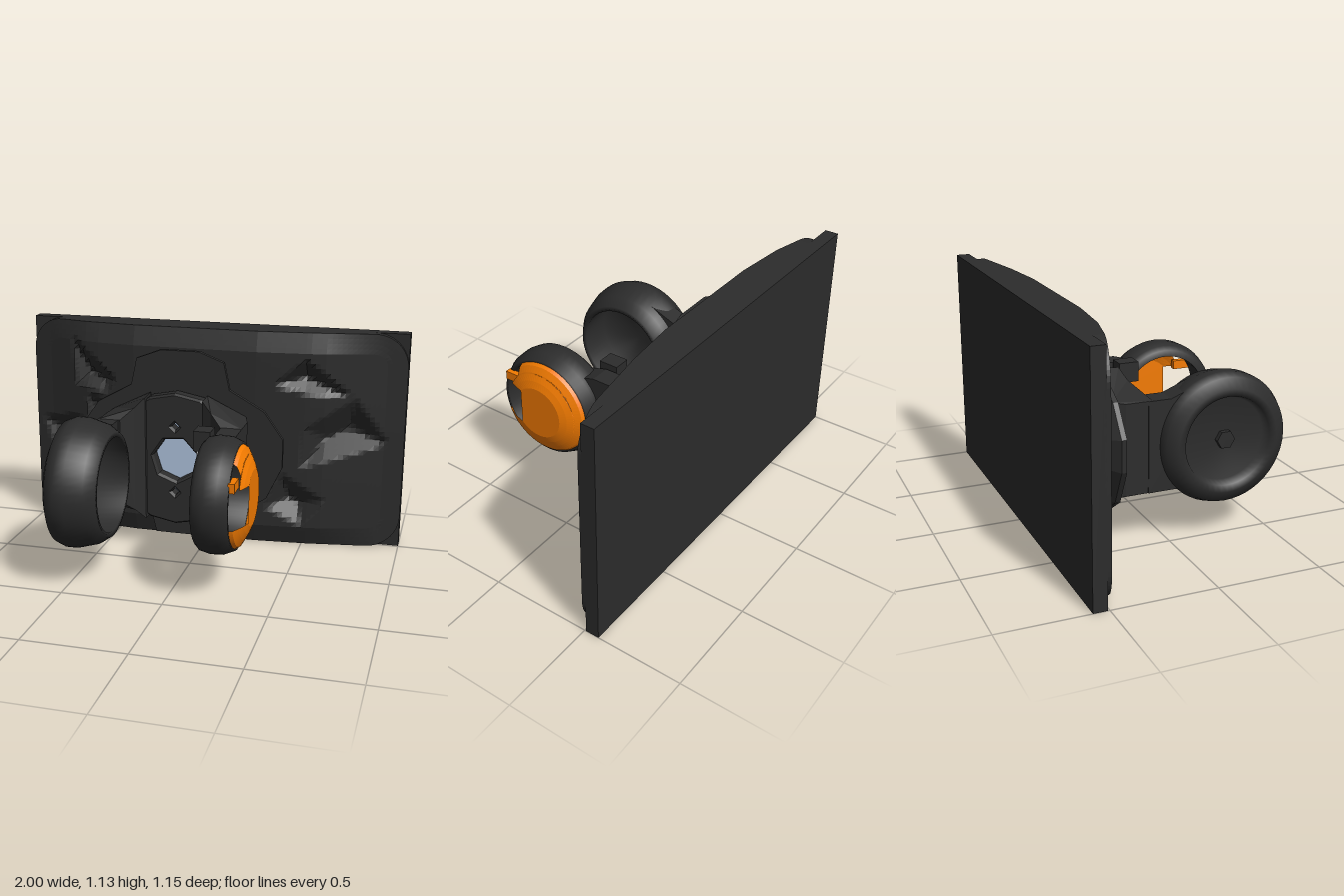
import * as THREE from 'three';

const mat = (color, extra = {}) => new THREE.MeshStandardMaterial({ color, ...extra });
const CX = -0.13, CY = 0.48, WZ = 0.26; // yoke axis and wheel centre

export function createModel() {
  const group = new THREE.Group();
  const dark = mat(0x2c2c2c, { flatShading: true, side: THREE.DoubleSide });
  const smooth = mat(0x2c2c2c, { side: THREE.DoubleSide });
  const orange = mat(0xf57c00, { flatShading: true, side: THREE.DoubleSide });
  const blue = mat(0xb0c4de);
  const grey = mat(0xcccccc);

  const add = (name, geo, material, x = 0, y = 0, z = 0) => {
    const mesh = new THREE.Mesh(geo, material);
    mesh.name = name;
    mesh.position.set(x, y, z);
    group.add(mesh);
    return mesh;
  };
  const box = (name, material, x0, x1, y0, y1, z0, z1) =>
    add(name, new THREE.BoxGeometry(x1 - x0, y1 - y0, z1 - z0), material, (x0 + x1) / 2, (y0 + y1) / 2, (z0 + z1) / 2);
  const shapeOf = pts => new THREE.Shape(pts.map(p => new THREE.Vector2(...p)));
  const ngon = (n, r, x = 0, y = 0, turn = 0) => Array.from({ length: n }, (_, i) => {
    const a = turn + i / n * Math.PI * 2;
    return new THREE.Vector2(x + r * Math.cos(a), y + r * Math.sin(a));
  });

  // Back board
  box('backBoard', dark, -1, 1, 0, 1.13, -0.575, -0.508);

  // Faceted front of the board: a sloping field with rounded corners and angular pits
  const ramp = [[-1, -0.49], [-0.67, -0.415], [-0.4, -0.39], [0.25, -0.39], [0.52, -0.415], [1, -0.49]];
  const pits = [ // slope, then corners counter-clockwise
    [1.0, [-0.76, 1.05], [-0.74, 0.79], [-0.55, 0.76], [-0.5, 0.84]],
    [0.7, [-0.97, 0.58], [-0.78, 0.1], [-0.69, 0.28], [-0.72, 0.63]],
    [0.8, [-0.68, 0.75], [-0.62, 0.25], [-0.5, 0.3], [-0.5, 0.72]],
    [1.0, [0.33, 0.86], [0.5, 0.82], [0.75, 0.8], [0.5, 1.0]],
    [0.7, [0.75, 0.8], [0.5, 0.64], [0.48, 0.42], [0.93, 0.56]],
    [0.7, [0.38, 0.4], [0.3, 0.2], [0.5, 0.1], [0.62, 0.25]]];
  const pitDepth = (x, y, [slope, ...c]) => slope * Math.max(0, Math.min(...c.map(([ax, ay], i) => {
    const [bx, by] = c[(i + 1) % c.length];
    return ((bx - ax) * (y - ay) - (by - ay) * (x - ax)) / Math.hypot(bx - ax, by - ay);
  })));
  const height = (x, y) => {
    const i = Math.max(0, ramp.findIndex(p => p[0] >= x) - 1);
    const [a, b] = [ramp[i], ramp[i + 1]];
    let z = a[1] + (b[1] - a[1]) * (x - a[0]) / (b[0] - a[0]);
    z += 0.033 * Math.min(1, Math.min(y, 1.13 - y) / 0.1) * Math.max(0, Math.min(1, (0.9 - Math.abs(x)) / 0.3));
    for (const pit of pits) z -= pitDepth(x, y, pit);
    return Math.max(z, -0.505);
  };
  const NX = 80, NY = 45, R = 0.17;
  const field = new THREE.PlaneGeometry(2, 1.13, NX + 2, NY + 2);
  const pos = field.attributes.position;
  for (let j = 0, k = 0; j <= NY + 2; j++) for (let i = 0; i <= NX + 2; i++, k++) {
    const outer = i === 0 || j === 0 || i === NX + 2 || j === NY + 2;
    let x = -1 + 2 * Math.min(NX, Math.max(0, i - 1)) / NX;
    let y = 1.13 - 1.13 * Math.min(NY, Math.max(0, j - 1)) / NY;
    const cx = Math.sign(x) * (1 - R), cy = y > 0.565 ? 1.13 - R : R;
    const dx = Math.abs(x) - (1 - R), dy = y > 0.565 ? y - cy : cy - y;
    if (dx > 0 && dy > 0) { // pull corner points onto a quarter circle
      const s = Math.max(dx, dy) / Math.hypot(dx, dy);
      x = cx + (x - cx) * s;
      y = cy + (y - cy) * s;
    }
    pos.setXYZ(k, x, y, outer ? -0.52 : height(x, y));
  }
  field.computeVertexNormals();
  add('facetedFront', field, dark);

  // Mounting collar: lobed plate with a tapering back
  const half = [[0.13, 0.04], [0.15, 0.12], [0.3, 0.17], [0.46, 0.28], [0.54, 0.45], [0.54, 0.6], [0.44, 0.74], [0.26, 0.84], [0.23, 0.98], [0.1, 1.03]];
  const outline = [...half, ...half.map(([x, y]) => [-x, y]).reverse()];
  add('collarPlate', new THREE.ExtrudeGeometry(shapeOf(outline), { depth: 0.025, bevelEnabled: false }), dark, CX, 0, -0.31);
  const taper = new THREE.ExtrudeGeometry(shapeOf(outline), { depth: 0.09, bevelEnabled: false });
  const tp = taper.attributes.position;
  for (let i = 0; i < tp.count; i++) if (tp.getZ(i) < 0.01) tp.setXY(i, tp.getX(i) * 0.82, 0.53 + (tp.getY(i) - 0.53) * 0.82);
  taper.computeVertexNormals();
  add('collarTaper', taper, dark, CX, 0, -0.4);

  // Pale bearing disc behind the yoke
  const disc = new THREE.CylinderGeometry(0.29, 0.29, 0.02, 32).rotateX(Math.PI / 2);
  add('bearingDisc', disc, blue, CX, CY, -0.279);

  // Yoke base with a central opening and two small ones
  const base = new THREE.Shape(ngon(16, 0.34));
  base.holes.push(new THREE.Path(ngon(7, 0.13, 0, 0, 0.3)));
  for (const s of [-1, 1]) base.holes.push(new THREE.Path(ngon(4, 0.034, 0, s * 0.175)));
  add('yokeBase', new THREE.ExtrudeGeometry(base, { depth: 0.055, bevelEnabled: true, bevelThickness: 0.015, bevelSize: 0.01, bevelSegments: 1 }), dark, CX, CY, -0.258);

  // Yoke shoulders, swelling toward the base
  for (const s of [-1, 1]) {
    const prof = [[0.35, 0.28], [0.37, 0.22], [0.37, 0.09], [0.26, 0.09], [0.2, 0.14], [0.15, 0.165], [0.15, 0.27]];
    const geo = new THREE.ExtrudeGeometry(shapeOf(prof.map(([x, y]) => [s * x, y])), { depth: 1, bevelEnabled: false }).rotateX(-Math.PI / 2);
    const p = geo.attributes.position;
    for (let i = 0; i < p.count; i++) {
      const inner = 1 - (Math.abs(p.getX(i)) - 0.15) / 0.22;
      const h = 0.22 + Math.min(0.11, 1.4 * (-0.09 - p.getZ(i))) * inner;
      p.setY(i, p.getY(i) > 0.5 ? h : -h);
    }
    geo.computeVertexNormals();
    add(s > 0 ? 'leftShoulder' : 'rightShoulder', geo, dark, CX, CY, 0);
  }

  // Arms reaching out to the wheels, cut round at the wheel end
  const arm = (name, x0, x1, r, a, topZ) => {
    const s = new THREE.Shape();
    s.moveTo(-0.11, 0.7);
    s.lineTo(-0.11, 0.26);
    s.lineTo(0.03, 0.26);
    s.absarc(WZ, CY, r, Math.PI + a, Math.PI - a, true);
    s.lineTo(topZ, 0.7);
    add(name, new THREE.ExtrudeGeometry(s, { depth: x1 - x0, bevelEnabled: false }).rotateY(-Math.PI / 2), dark, x1, 0, 0);
  };
  arm('leftArm', 0.135, 0.24, 0.25, 0.9, 0.02);
  arm('rightArm', -0.505, -0.4, 0.3, 1.2, 0);
  box('armPad', dark, 0.2, 0.245, 0.38, 0.59, -0.09, 0.02);

  // Wheels turned about the x axis: profiles are [radius, x]
  const turned = (name, prof, material) =>
    add(name, new THREE.LatheGeometry(prof.map(p => new THREE.Vector2(...p)), 48).rotateZ(-Math.PI / 2), material, 0, CY, WZ);
  turned('rightWheel', [[0, -0.52], [0.2, -0.52], [0.215, -0.565], [0.25, -0.57], [0.3, -0.545], [0.317, -0.5], [0.315, -0.45],
    [0.29, -0.36], [0.255, -0.31], [0.23, -0.31], [0.24, -0.48], [0, -0.48]], smooth);
  const hub = new THREE.CylinderGeometry(0.045, 0.045, 0.03, 6).rotateZ(Math.PI / 2);
  add('rightHub', hub, dark, -0.53, CY, WZ);
  turned('leftWheel', [[0.22, 0.13], [0.25, 0.135], [0.27, 0.155], [0.28, 0.2], [0.277, 0.26], [0.255, 0.31], [0.235, 0.31], [0.22, 0.13]], smooth);

  // Domed cap on the left wheel, open toward the front
  const rings = [[0.135, 0.375], [0.17, 0.362], [0.2, 0.347], [0.205, 0.344], [0.235, 0.327], [0.25, 0.3]];
  const cap = new THREE.PlaneGeometry(1, 1, 64, rings.length - 1);
  const cp = cap.attributes.position;
  rings.forEach(([r, x], j) => {
    const low = Math.asin(0.09 / r), top = r > 0.2 ? Math.acos(0.14 / r) : low;
    for (let i = 0; i <= 64; i++) {
      const a = top + (Math.PI * 2 - low - top) * i / 64;
      cp.setXYZ(j * 65 + i, x, r * Math.sin(a), r * Math.cos(a));
    }
  });
  cap.computeVertexNormals();
  add('capDome', cap, orange, 0, CY, WZ);
  const notch = Math.asin(0.09 / 0.135);
  const centre = new THREE.Shape().absarc(0, 0, 0.135, notch, Math.PI * 2 - notch, false);
  add('capCentre', new THREE.ShapeGeometry(centre, 32).rotateY(-Math.PI / 2), orange, 0.375, CY, WZ);
  box('capTooth', orange, 0.305, 0.335, 0.57, 0.615, 0.39, 0.485);

  // Latch on the inner side of the left arm
  box('latchLever', grey, 0.03, 0.135, 0.48, 0.62, -0.09, -0.02);
  box('latchUpper', dark, 0.035, 0.12, 0.62, 0.72, -0.03, 0.07);
  box('latchLower', dark, 0.035, 0.12, 0.37, 0.48, -0.03, 0.07);

  return group;
}
